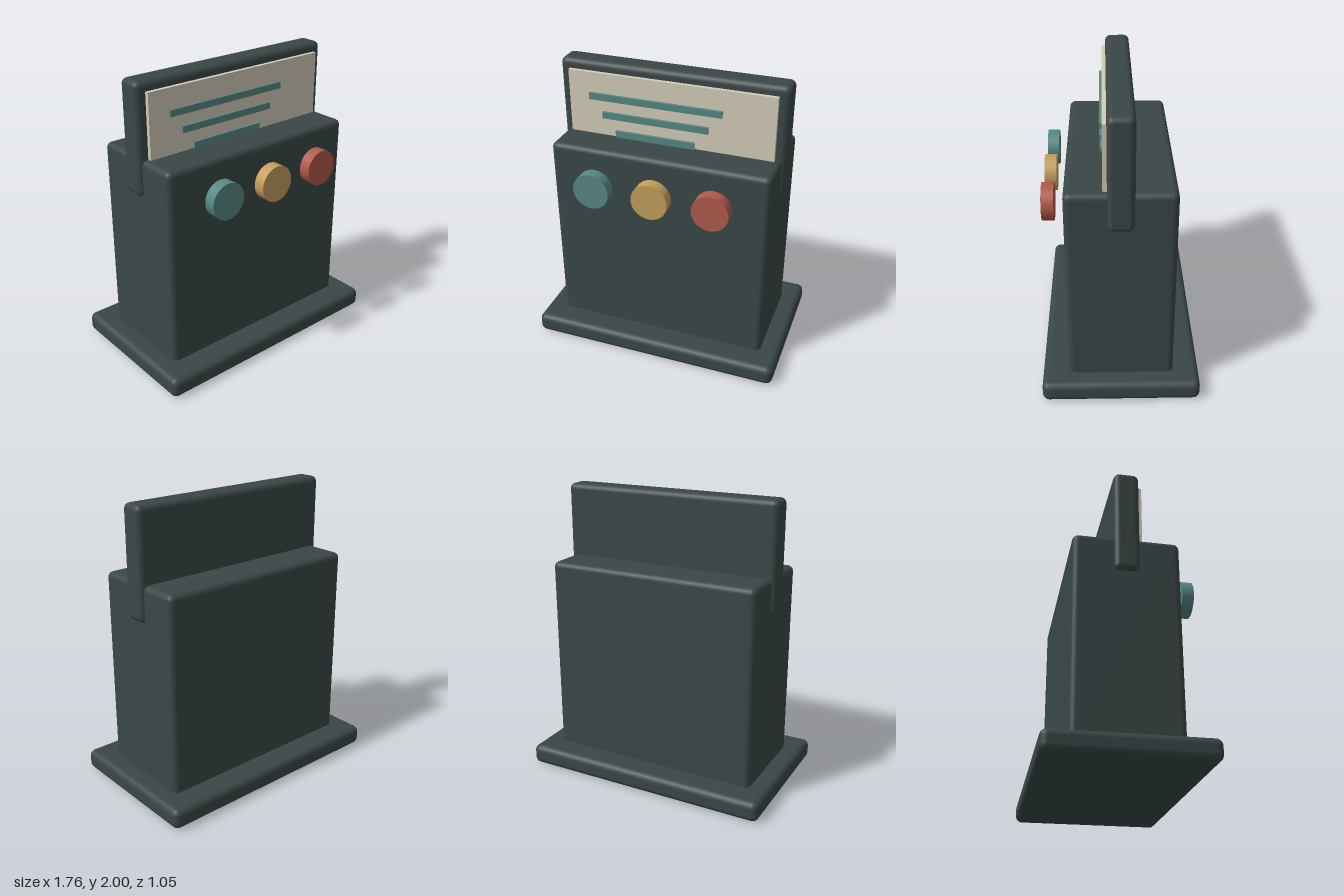
import * as THREE from 'three';
import { RoundedBoxGeometry } from 'three/addons/geometries/RoundedBoxGeometry.js';

const paint = (name, color) => {
  const m = new THREE.MeshStandardMaterial({ color });
  m.name = name;
  return m;
};

export function createModel() {
  const casing = paint('dark slate', 0x3a4747);
  const paper = paint('cream', 0xd4ccb8);
  const teal = paint('teal', 0x558884);
  const gold = paint('gold', 0xc49e5c);
  const red = paint('brick red', 0xb05a4a);

  const model = new THREE.Group();
  model.name = 'console';
  const add = (name, geometry, material, x, y, z) => {
    const mesh = new THREE.Mesh(geometry, material);
    mesh.name = name;
    mesh.position.set(x, y, z);
    model.add(mesh);
    return mesh;
  };

  // Casing: foot plate, cabinet and the upright display housing
  add('basePlate', new RoundedBoxGeometry(1.76, 0.14, 1.05, 4, 0.045), casing, 0, 0.07, 0);
  add('cabinet', new RoundedBoxGeometry(1.5, 1.4, 0.7, 4, 0.04), casing, 0, 0.8, 0);
  add('displayHousing', new RoundedBoxGeometry(1.55, 0.75, 0.17, 4, 0.04), casing, 0, 1.625, 0);

  // Display panel with raised lines that get shorter downwards
  add('displayPanel', new THREE.BoxGeometry(1.41, 0.62, 0.04), paper, 0, 1.625, 0.092);
  for (let i = 0; i < 3; i++) {
    const width = 0.915 - i * 0.182;
    add('displayLine', new THREE.BoxGeometry(width, 0.045, 0.02), teal, -0.1, 1.774 - i * 0.125, 0.12);
  }

  // Row of round buttons standing proud of the cabinet
  const buttonShape = new THREE.CylinderGeometry(0.123, 0.123, 0.08, 48).rotateX(Math.PI / 2);
  [teal, gold, red].forEach((material, i) =>
    add('button', buttonShape, material, (i - 1) * 0.405, 1.273, 0.46));

  return model;
}
